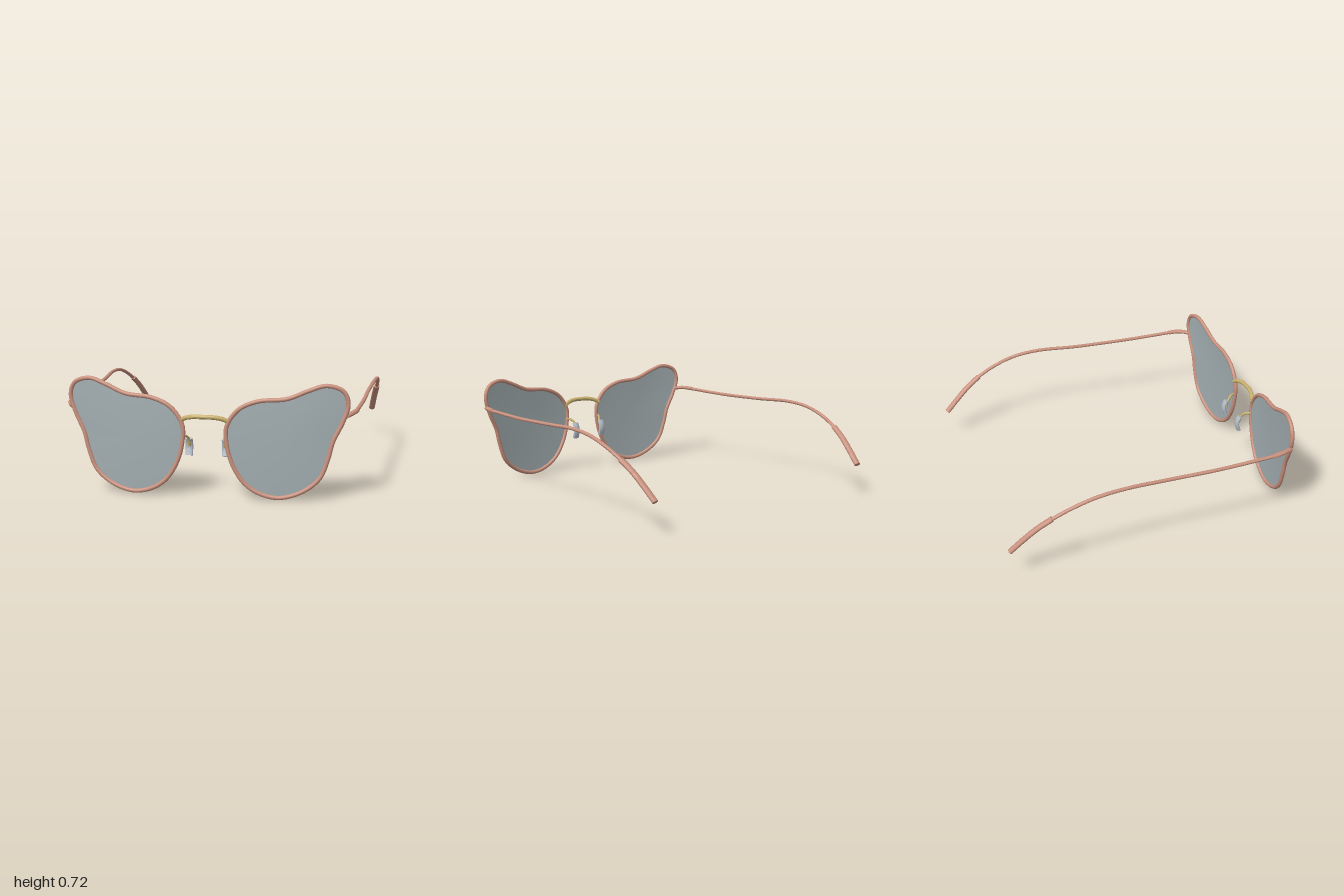
import * as THREE from 'three';
import { toCreasedNormals } from 'three/addons/utils/BufferGeometryUtils.js';

const material = (name, color, side = THREE.FrontSide) => {
  const m = new THREE.MeshStandardMaterial({ color, side });
  m.name = name;
  return m;
};

// Half outline data for one lens: x, y around the rim centreline
const OUTLINE = [
  [0.46, 0.014], [0.6, 0.057], [0.7, 0.14], [0.75, 0.265], [0.777, 0.37], [0.833, 0.49],
  [0.864, 0.6], [0.835, 0.677], [0.735, 0.71], [0.633, 0.68], [0.5, 0.627], [0.325, 0.608],
  [0.21, 0.555], [0.138, 0.45], [0.137, 0.345], [0.172, 0.215], [0.245, 0.1], [0.34, 0.037],
];

// The front of the frame wraps back gently towards the temples
const wrap = (x) => 0.965 - 0.095 * x * x;

// Sweeps an ellipse (rx across, ry towards the hint) along a curve, with flat end caps
function sweep(points, rx, ry, hint, steps = 24, sides = 14) {
  const curve = new THREE.CatmullRomCurve3(points);
  const pos = [], index = [];
  for (let i = 0; i <= steps; i++) {
    const p = curve.getPointAt(i / steps), t = curve.getTangentAt(i / steps);
    const side = t.clone().cross(hint).normalize();
    const up = t.clone().cross(side);
    for (let j = 0; j < sides; j++) {
      const a = (j / sides) * Math.PI * 2;
      const v = p.clone().addScaledVector(side, rx * Math.cos(a)).addScaledVector(up, ry * Math.sin(a));
      pos.push(v.x, v.y, v.z);
    }
  }
  for (let i = 0; i < steps; i++) {
    for (let j = 0; j < sides; j++) {
      const k = (j + 1) % sides, a = i * sides + j, b = i * sides + k;
      index.push(a, b, a + sides, b, b + sides, a + sides);
    }
  }
  const last = steps * sides;
  for (let j = 1; j < sides - 1; j++) {
    index.push(0, j + 1, j, last, last + j, last + j + 1);
  }
  const g = new THREE.BufferGeometry();
  g.setAttribute('position', new THREE.Float32BufferAttribute(pos, 3));
  g.setIndex(index);
  return toCreasedNormals(g, 0.9);
}

// Curved lens: concentric rings shrinking to the middle, all on the wrapped surface
function lensGeometry(curve, s, n = 96, rings = 8) {
  const cx = 0.45 * s, cy = 0.34, pos = [], index = [];
  for (let r = 0; r <= rings; r++) {
    for (let i = 0; i < n; i++) {
      const p = curve.getPoint(i / n), k = r / rings;
      const x = cx + (p.x - cx) * k, y = cy + (p.y - cy) * k;
      pos.push(x, y, wrap(x) + 0.006 * (1 - k * k));
    }
  }
  for (let r = 0; r < rings; r++) {
    for (let i = 0; i < n; i++) {
      const j = (i + 1) % n, a = r * n + i, b = r * n + j;
      const quad = [a, a + n, b + n, a, b + n, b];
      index.push(...(s > 0 ? quad : quad.reverse()));
    }
  }
  const g = new THREE.BufferGeometry();
  g.setAttribute('position', new THREE.Float32BufferAttribute(pos, 3));
  g.setIndex(index);
  g.computeVertexNormals();
  return g;
}

export function createModel() {
  const frame = material('rose frame', 0xc9917e);
  const gold = material('gold metal', 0xc8b06c);
  const padGrey = material('pale pad', 0xb6bec8);
  const tint = material('grey lens', 0xa3aeb1, THREE.DoubleSide);

  const X = new THREE.Vector3(1, 0, 0), Y = new THREE.Vector3(0, 1, 0), Z = new THREE.Vector3(0, 0, 1);
  const model = new THREE.Group();
  model.name = 'glasses';
  const add = (parent, name, geometry, mat) => {
    const mesh = new THREE.Mesh(geometry, mat);
    mesh.name = name;
    parent.add(mesh);
  };

  // Bridge arching between the lenses
  const bridge = [[-0.155, 0.472, 0.957], [-0.115, 0.494, 0.969], [-0.06, 0.505, 0.982], [0, 0.506, 0.986],
    [0.06, 0.505, 0.982], [0.115, 0.494, 0.969], [0.155, 0.472, 0.957]];
  add(model, 'bridge', sweep(bridge.map((p) => new THREE.Vector3(...p)), 0.014, 0.014, Y, 32), gold);

  for (const s of [1, -1]) {
    const half = new THREE.Group();
    half.name = s > 0 ? 'leftSide' : 'rightSide';
    model.add(half);
    const path = (list) => list.map(([x, y, z]) => new THREE.Vector3(x * s, y, z));

    // Rim and lens share one closed outline
    const outline = new THREE.CatmullRomCurve3(path(OUTLINE.map(([x, y]) => [x, y, wrap(x)])), true);
    add(half, 'rim', new THREE.TubeGeometry(outline, 120, 0.0135, 12, true), frame);
    add(half, 'lens', lensGeometry(outline, s), tint);

    // Nose pad on its bent wire
    add(half, 'padArm', sweep(path([[0.142, 0.375, 0.955], [0.128, 0.372, 0.925], [0.113, 0.35, 0.9],
      [0.11, 0.3, 0.885]]), 0.008, 0.008, X, 16, 10), gold);
    add(half, 'nosePad', sweep(path([[0.115, 0.348, 0.885], [0.115, 0.32, 0.872], [0.115, 0.285, 0.868],
      [0.115, 0.24, 0.882]]), 0.024, 0.013, Z, 12), padGrey);

    // Temple: end piece, slim arm and thicker ear tip
    add(half, 'endPiece', sweep(path([[0.855, 0.527, 0.895], [0.876, 0.533, 0.855], [0.892, 0.535, 0.81],
      [0.9, 0.532, 0.75]]), 0.018, 0.013, Y, 16), frame);
    add(half, 'temple', sweep(path([[0.9, 0.532, 0.76], [0.907, 0.527, 0.56], [0.914, 0.525, 0.355],
      [0.922, 0.533, 0], [0.938, 0.543, -0.26], [0.942, 0.525, -0.45], [0.935, 0.475, -0.61],
      [0.921, 0.412, -0.74]]), 0.013, 0.011, Y, 48), frame);
    add(half, 'earTip', sweep(path([[0.922, 0.418, -0.728], [0.905, 0.355, -0.82], [0.888, 0.28, -0.905],
      [0.872, 0.2, -0.988]]), 0.022, 0.016, Y, 20), frame);
  }
  return model;
}
